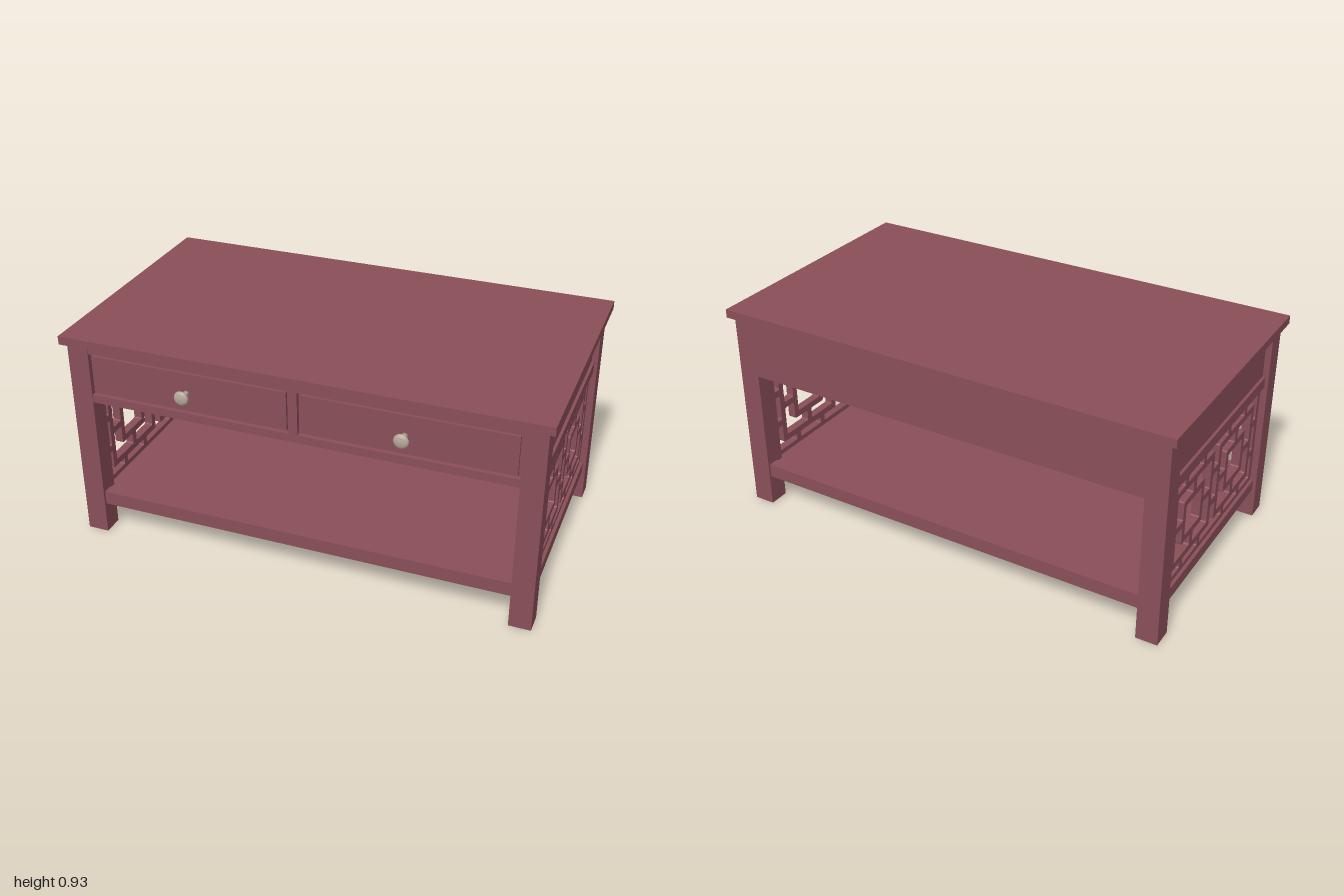
import * as THREE from 'three';

const wood = new THREE.MeshStandardMaterial({ color: 0x8a4f59 });
wood.name = 'red brown wood';
const metal = new THREE.MeshStandardMaterial({ color: 0xb5a899 });
metal.name = 'brushed metal';

// Box given by its min and max on each axis
function block(parent, name, [x0, x1], [y0, y1], [z0, z1]) {
  const mesh = new THREE.Mesh(new THREE.BoxGeometry(x1 - x0, y1 - y0, z1 - z0), wood);
  mesh.position.set((x0 + x1) / 2, (y0 + y1) / 2, (z0 + z1) / 2);
  mesh.name = name;
  parent.add(mesh);
  return mesh;
}

// Closed path whose corners are softened by radius r
function softPath(corners, r = 0.008) {
  const pts = corners.map(([x, y]) => new THREE.Vector2(x, y));
  const path = new THREE.Path();
  pts.forEach((p, i) => {
    const prev = pts[(i + pts.length - 1) % pts.length];
    const next = pts[(i + 1) % pts.length];
    const a = p.clone().add(prev.clone().sub(p).setLength(r));
    const b = p.clone().add(next.clone().sub(p).setLength(r));
    if (i === 0) path.moveTo(a.x, a.y);
    else path.lineTo(a.x, a.y);
    path.quadraticCurveTo(p.x, p.y, b.x, b.y);
  });
  path.closePath();
  return path;
}

const rect = (x0, x1, y0, y1) => [[x0, y0], [x1, y0], [x1, y1], [x0, y1]];

// Fretwork panel: two nested-square motifs joined by short bars
function latticeGeometry(depth) {
  const shape = new THREE.Shape();
  shape.moveTo(-0.45, -0.23);
  shape.lineTo(0.45, -0.23);
  shape.lineTo(0.45, 0.23);
  shape.lineTo(-0.45, 0.23);
  shape.closePath();
  const c = 0.208;
  const cut = (corners, sx = 1, sy = 1, dx = 0) =>
    shape.holes.push(softPath(corners.map(([x, y]) => [sx * x + dx, sy * y])));

  const ringCorner = [[0.014, 0.147], [0.158, 0.147], [0.158, 0.014],
    [0.098, 0.014], [0.098, 0.097], [0.014, 0.097]];
  const outerCorner = [[0.098, 0.204], [0.215, 0.204], [0.215, 0.089],
    [0.185, 0.089], [0.185, 0.175], [0.098, 0.175]];
  const middleTee = [[-0.11, 0.204], [0.11, 0.204], [0.11, 0.175], [0.023, 0.175],
    [0.023, 0.089], [-0.023, 0.089], [-0.023, 0.175], [-0.11, 0.175]];

  for (const side of [-1, 1]) {
    const dx = side * c;
    cut(rect(-0.072, 0.072, -0.069, 0.069), 1, 1, dx);
    cut(rect(0.185, 0.215, -0.06, 0.06), side, 1, dx);
    for (const sy of [-1, 1]) {
      for (const sx of [-1, 1]) cut(ringCorner, sx, sy, dx);
      cut(rect(-0.072, 0.072, 0.175, 0.204), 1, sy, dx);
      cut(outerCorner, side, sy, dx);
    }
  }
  cut(rect(-0.023, 0.023, -0.06, 0.06));
  for (const sy of [-1, 1]) cut(middleTee, 1, sy);

  const geo = new THREE.ExtrudeGeometry(shape, { depth, bevelEnabled: false, curveSegments: 3 });
  geo.translate(0, 0, -depth / 2);
  geo.rotateY(Math.PI / 2);
  return geo;
}

// Mushroom knob turned about its stem, pointing to +z
function knob(x) {
  const profile = [[0, 0], [0.014, 0], [0.008, 0.006], [0.008, 0.03], [0.02, 0.033],
    [0.028, 0.038], [0.031, 0.044], [0.028, 0.051], [0.018, 0.056], [0, 0.058]];
  const geo = new THREE.LatheGeometry(profile.map(([r, h]) => new THREE.Vector2(r, h)), 24);
  geo.rotateX(Math.PI / 2);
  const mesh = new THREE.Mesh(geo, metal);
  mesh.position.set(x, 0.757, 0.516);
  mesh.name = 'drawerKnob';
  return mesh;
}

export function createModel() {
  const table = new THREE.Group();
  table.name = 'coffeeTable';

  block(table, 'tableTop', [-1, 1], [0.889, 0.925], [-0.571, 0.548]);

  // Legs
  for (const s of [-1, 1]) {
    const x = s > 0 ? [0.885, 0.976] : [-0.976, -0.885];
    block(table, 'frontLeg', x, [0, 0.889], [0.439, 0.526]);
    block(table, 'backLeg', x, [0, 0.889], [-0.549, -0.461]);
  }

  // Ends: apron, rails and fretwork
  const lattice = latticeGeometry(0.036);
  for (const s of [-1, 1]) {
    const end = new THREE.Group();
    end.name = s > 0 ? 'leftEnd' : 'rightEnd';
    const span = (a, b) => (s > 0 ? [a, b] : [-b, -a]);
    const z = [-0.461, 0.439];
    block(end, 'endApron', span(0.9, 0.95), [0.683, 0.889], z);
    block(end, 'upperRail', span(0.895, 0.962), [0.635, 0.683], z);
    block(end, 'lowerRail', span(0.885, 0.962), [0.13, 0.18], z);
    const panel = new THREE.Mesh(lattice, wood);
    panel.position.set(s * 0.93, 0.405, -0.011);
    panel.name = 'latticePanel';
    end.add(panel);
    table.add(end);
  }

  // Back apron and drawer case
  const inner = [-0.885, 0.885];
  block(table, 'backApron', inner, [0.635, 0.889], [-0.549, -0.5]);
  block(table, 'caseBottom', [-0.9, 0.9], [0.638, 0.66], [-0.5, 0.49]);
  block(table, 'drawerBacking', inner, [0.66, 0.889], [0.47, 0.505]);
  block(table, 'topRail', inner, [0.855, 0.889], [0.48, 0.523]);
  block(table, 'drawerRail', inner, [0.635, 0.67], [0.48, 0.523]);
  block(table, 'drawerDivider', [-0.022, 0.013], [0.67, 0.855], [0.48, 0.523]);

  // Drawers
  for (const [x0, x1, knobX] of [[-0.885, -0.022, -0.459], [0.013, 0.885, 0.441]]) {
    block(table, 'drawerFront', [x0 + 0.012, x1 - 0.012], [0.679, 0.844], [0.49, 0.517]);
    table.add(knob(knobX));
  }

  // Lower shelf with edge rails and bearers
  block(table, 'shelf', [-0.895, 0.895], [0.142, 0.188], [-0.5, 0.48]);
  block(table, 'shelfFrontRail', inner, [0.135, 0.195], [0.47, 0.515]);
  block(table, 'shelfBackRail', inner, [0.135, 0.195], [-0.54, -0.495]);
  for (const x of [-0.457, 0.45]) {
    block(table, 'shelfBearer', [x - 0.015, x + 0.015], [0.111, 0.143], [-0.461, 0.439]);
  }
  return table;
}
